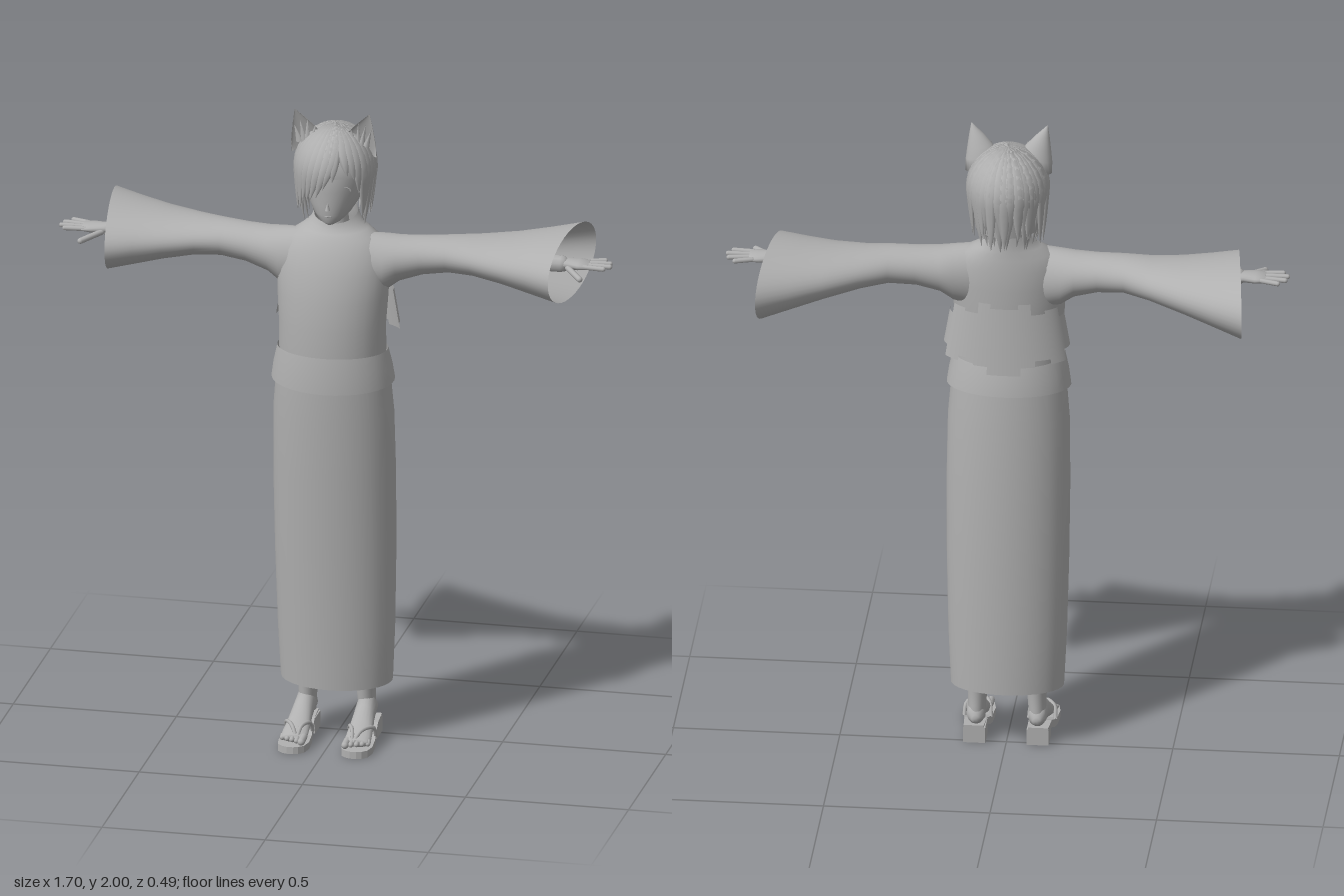
import * as THREE from 'three';

const grey = new THREE.MeshStandardMaterial({ color: 0xb0b0b0, side: THREE.DoubleSide });
grey.name = 'plain grey';

const V = (x, y, z) => new THREE.Vector3(x, y, z);

// Ellipse around c; u and v are half-axes, u cross v points along the loft.
function ring(c, u, v, n = 32) {
  return Array.from({ length: n }, (_, i) => {
    const t = (i / n) * Math.PI * 2;
    return c.clone().addScaledVector(u, Math.cos(t)).addScaledVector(v, Math.sin(t));
  });
}

// Skin over rings that all have the same number of points.
function loft(rings, capped = false) {
  const n = rings[0].length, pos = [], idx = [];
  rings.forEach(r => r.forEach(p => pos.push(p.x, p.y, p.z)));
  for (let i = 0; i < rings.length - 1; i++) {
    for (let j = 0; j < n; j++) {
      const a = i * n + j, b = i * n + (j + 1) % n;
      idx.push(a, b, b + n, a, b + n, a + n);
    }
  }
  if (capped) {
    [0, rings.length - 1].forEach((k, end) => {
      const c = rings[k].reduce((s, p) => s.add(p), V(0, 0, 0)).divideScalar(n);
      const ci = pos.length / 3;
      pos.push(c.x, c.y, c.z);
      for (let j = 0; j < n; j++) {
        const a = k * n + j, b = k * n + (j + 1) % n;
        end ? idx.push(ci, a, b) : idx.push(ci, b, a);
      }
    });
  }
  const g = new THREE.BufferGeometry();
  g.setAttribute('position', new THREE.Float32BufferAttribute(pos, 3));
  g.setIndex(idx);
  g.computeVertexNormals();
  return g;
}

// Upright loft from rows [y, halfWidth, zBack, zFront, tilt, x].
const upright = (rows, capped) => loft(rows.map(([y, rx, zb, zf, tilt = 0, x = 0]) =>
  ring(V(x, y, (zb + zf) / 2), V(0, tilt, (zf - zb) / 2), V(rx, 0, 0))), capped);

// Capsule between two points.
function capsule(a, b, r) {
  const d = b.clone().sub(a);
  const g = new THREE.CapsuleGeometry(r, d.length(), 4, 10);
  g.applyQuaternion(new THREE.Quaternion().setFromUnitVectors(V(0, 1, 0), d.normalize()));
  return g.translate((a.x + b.x) / 2, (a.y + b.y) / 2, (a.z + b.z) / 2);
}

function mirrored(g) {
  const m = g.clone().scale(-1, 1, 1);
  const src = m.index ? Array.from(m.index.array) : Array.from({ length: m.attributes.position.count }, (_, i) => i);
  for (let i = 0; i < src.length; i += 3) [src[i], src[i + 1]] = [src[i + 1], src[i]];
  m.setIndex(src);
  return m;
}

// One tapered lock: over the crown at azimuth a, then hanging down to yEnd.
function lock(a0, yEnd, width, sweep = 0, tuck = 0.9) {
  const arc = 0.2, total = arc + 1.81 - yEnd, rings = [];
  for (let i = 0; i <= 12; i++) {
    const s = i / 12, l = s * total, a = a0 + sweep * s * s;
    const phi = Math.min(l / arc, 1) * Math.PI / 2, drop = Math.max(0, l - arc);
    const r = Math.sin(phi) - tuck * drop - 0.02;
    const p = V(Math.sin(a) * r * 0.12, 1.81 + Math.cos(phi) * 0.127 - drop, 0.052 + Math.cos(a) * r * 0.134);
    const w = width * Math.min(1, 0.15 + s * 2) * (1 - s ** 4) + 0.0005;
    const out = V(Math.sin(a) * Math.sin(phi), Math.cos(phi), Math.cos(a) * Math.sin(phi));
    rings.push(ring(p, V(Math.cos(a), 0, -Math.sin(a)).multiplyScalar(w), out.multiplyScalar(0.01 * (1 - s ** 4) + 0.0005), 6));
  }
  return loft(rings, true);
}

export function createModel() {
  const model = new THREE.Group();
  const add = (name, g) => {
    const m = new THREE.Mesh(g, grey);
    m.name = name;
    model.add(m);
  };
  const pair = (name, g) => { add(name + 'Left', g); add(name + 'Right', mirrored(g)); };

  // Long skirt, open at the hem
  add('skirt', upright([[0.183, 0.17, -0.08, 0.147, -0.008], [0.35, 0.178, -0.079, 0.158], [0.6, 0.184, -0.076, 0.177],
    [0.85, 0.186, -0.067, 0.195], [1.05, 0.183, -0.056, 0.209], [1.18, 0.172, -0.045, 0.213]]));

  // Jacket: flared hem, then the torso up to the collar
  add('jacketHem', upright([[1.152, 0.187, -0.057, 0.225, -0.012], [1.2, 0.18, -0.05, 0.223, -0.005], [1.252, 0.168, -0.038, 0.217]]));
  add('torso', upright([[1.245, 0.162, -0.032, 0.211], [1.33, 0.162, -0.025, 0.212], [1.42, 0.168, -0.03, 0.205],
    [1.5, 0.172, -0.033, 0.19], [1.56, 0.163, -0.032, 0.168], [1.6, 0.135, -0.027, 0.145], [1.622, 0.1, -0.024, 0.128, -0.006],
    [1.64, 0.078, -0.022, 0.115, -0.012], [1.665, 0.066, -0.022, 0.11, -0.02]]));

  // Wide sleeves: x, yBottom, yTop, zBack, zFront
  const sleeve = [[0.09, 1.41, 1.612, 0, 0.14], [0.16, 1.435, 1.607, -0.02, 0.138], [0.2, 1.465, 1.603, -0.022, 0.13],
    [0.27, 1.487, 1.603, -0.027, 0.115], [0.35, 1.497, 1.606, -0.045, 0.11], [0.43, 1.49, 1.605, -0.09, 0.118],
    [0.53, 1.468, 1.61, -0.145, 0.137], [0.62, 1.443, 1.622, -0.195, 0.158], [0.705, 1.42, 1.635, -0.247, 0.18]];
  pair('sleeve', loft(sleeve.map(([x, yb, yt, zb, zf], i) => {
    const rz = (zf - zb) / 2;
    return ring(V(x, (yb + yt) / 2, (zb + zf) / 2), V(0, (yt - yb) / 2, 0), V(-0.12 * rz * i / 8, 0, rz), 40);
  })));

  // Stepped sash panel flaring out over the back
  const steps = [[0, 0.26, 1.25, 1.46], [0.26, 0.5, 1.275, 1.475], [0.5, 0.8, 1.295, 1.44], [0.8, 1.2, 1.28, 1.45], [1.2, 1.65, 1.315, 1.42]];
  const flare = y => 1 + (1.46 - y) * 1.05;
  steps.forEach(([a, b, yb, yt]) => {
    const g = new THREE.CylinderGeometry(flare(yt), flare(yb), yt - yb, 6, 3, true, Math.PI - b, b - a);
    pair('sashPanel', g.scale(0.164, 1, 0.088).translate(0, (yt + yb) / 2, 0.02));
  });

  // Arms, hands and fingers
  pair('arm', capsule(V(0.25, 1.55, 0.045), V(0.69, 1.55, 0.045), 0.026));
  pair('palm', loft([[0.67, 0.02, 0.024], [0.71, 0.016, 0.026], [0.745, 0.015, 0.036], [0.775, 0.01, 0.036]].map(([x, ry, rz]) =>
    ring(V(x, 1.552, 0.042), V(0, ry, 0), V(0, 0, rz), 16)), true));
  [[0.013, 0.815, -0.003], [0.031, 0.835, 0.022], [0.05, 0.84, 0.05], [0.069, 0.825, 0.074]].forEach(([z, x, zt]) =>
    pair('finger', capsule(V(0.765, 1.553, z), V(x, 1.553, zt), 0.0075)));
  pair('thumb', capsule(V(0.715, 1.545, 0.065), V(0.765, 1.535, 0.128), 0.009));

  // Legs, feet and toes
  pair('leg', upright([[0.07, 0.027, -0.01, 0.065, 0, 0.092], [0.12, 0.027, -0.008, 0.062, 0, 0.09], [0.19, 0.032, -0.008, 0.078, 0, 0.088],
    [0.35, 0.046, -0.03, 0.085, 0, 0.086], [0.6, 0.055, -0.01, 0.105, 0, 0.084], [0.9, 0.072, -0.01, 0.14, 0, 0.082]]));
  pair('foot', loft([[-0.014, 0.065, 0.09, 0.012], [0, 0.056, 0.115, 0.026], [0.04, 0.05, 0.14, 0.03], [0.085, 0.038, 0.115, 0.032],
    [0.13, 0.027, 0.08, 0.037], [0.175, 0.022, 0.056, 0.04], [0.2, 0.022, 0.046, 0.036]].map(([z, yb, yt, rx]) =>
    ring(V(0.092 + z * 0.03, (yb + yt) / 2, z), V(rx, 0, 0), V(0, (yt - yb) / 2, 0), 20)), true));
  for (let i = 0; i < 5; i++) {
    const x = 0.067 + i * 0.016;
    pair('toe', capsule(V(x, 0.036, 0.185), V(x, 0.032, 0.222 - i * 0.007), i ? 0.008 : 0.011));
  }

  // Sandals: raised sole, heel block and straps
  const corner = (x, y, z, w, h) => [V(x + w, y, z), V(x + w, y + h, z), V(x - w, y + h, z), V(x - w, y, z)];
  const sole = loft([[-0.015, 0.03, 0.037, 0.02], [0.055, 0.034, 0.03, 0.022], [0.1, 0.038, 0.008, 0.026], [0.135, 0.043, 0, 0.024],
    [0.19, 0.047, 0, 0.022], [0.225, 0.04, 0, 0.022], [0.24, 0.025, 0, 0.022], [0.246, 0.01, 0, 0.022]].map(([z, w, y, h]) =>
    corner(0.097, y, z, w, h)), true).toNonIndexed();
  sole.computeVertexNormals();
  pair('sandalSole', sole);
  pair('sandalHeel', new THREE.BoxGeometry(0.066, 0.05, 0.07).translate(0.095, 0.025, 0.02));
  [-1, 1].forEach(s => pair('sandalStrap', new THREE.TubeGeometry(new THREE.CatmullRomCurve3([V(0.085, 0.03, 0.205),
    V(0.092 + s * 0.014, 0.064, 0.172), V(0.097 + s * 0.036, 0.062, 0.13), V(0.097 + s * 0.04, 0.03, 0.11)]), 12, 0.006, 8)));

  // Neck, head and face
  add('neck', upright([[1.6, 0.045, 0.005, 0.095], [1.66, 0.037, 0.01, 0.085], [1.74, 0.038, 0.01, 0.09]]));
  add('head', upright([[1.652, 0.012, 0.105, 0.142], [1.662, 0.032, 0.075, 0.152], [1.685, 0.056, 0.02, 0.157], [1.715, 0.075, -0.03, 0.16],
    [1.76, 0.092, -0.055, 0.163], [1.82, 0.1, -0.065, 0.165], [1.88, 0.085, -0.04, 0.145], [1.92, 0.045, 0, 0.1]], true));
  add('nose', new THREE.ConeGeometry(0.008, 0.026, 8).scale(1, 1, 1.2).translate(0, 1.717, 0.16));
  add('mouth', new THREE.CapsuleGeometry(0.002, 0.018, 3, 8).rotateZ(Math.PI / 2).translate(0, 1.683, 0.156));
  pair('eyelid', new THREE.TorusGeometry(0.021, 0.0025, 6, 14, Math.PI).scale(1, 0.6, 1).rotateY(0.35).translate(0.046, 1.763, 0.146));

  // Hair: cap, back shell, then locks all round
  add('hairCap', new THREE.SphereGeometry(1, 32, 14, 0, Math.PI * 2, 0, Math.PI / 2).scale(0.117, 0.128, 0.13).translate(0, 1.81, 0.052));
  add('hairBack', new THREE.CylinderGeometry(1, 0.86, 0.12, 28, 2, true, 1.25, Math.PI * 2 - 2.5).scale(0.115, 1, 0.128).translate(0, 1.75, 0.052));
  for (let i = 0; i < 25; i++) {
    const a = 1.0 + (i / 24) * (Math.PI * 2 - 2.0), wobble = Math.sin(i * 2.4);
    add('hairLock', lock(a, 1.668 + 0.022 * wobble, 0.022, 0.12 * Math.cos(i * 1.7), 0.75 + 0.55 * Math.sin(i * 3.1)));
  }
  for (let i = 0; i < 12; i++) {
    add('hairUnderLock', lock(1.5 + i * 0.298, 1.645 + 0.012 * Math.sin(i * 2.1), 0.02, 0.1 * Math.sin(i * 5), 1.6));
  }
  // Fringe swept towards the right eye
  [[0.8, 1.755, 0.1], [0.6, 1.8, 0.15], [0.4, 1.815, 0.15], [0.25, 1.8, -0.1], [0.25, 1.775, -0.35], [0.1, 1.745, -0.4],
    [-0.08, 1.735, -0.4], [-0.28, 1.725, -0.35], [-0.48, 1.72, -0.3], [-0.68, 1.7, -0.25], [-0.85, 1.69, -0.1]]
    .forEach(([a, y, sweep]) => add('fringeLock', lock(a, y, 0.021, sweep, 0.35)));

  // Pointed animal ears, hollow in front, with tufts of fur
  const ear = [[1.868, 0.083, 0.047, 0.034], [1.9, 0.084, 0.046, 0.033], [1.93, 0.088, 0.038, 0.028], [1.965, 0.1, 0.021, 0.017], [1.996, 0.114, 0.001, 0.001]];
  pair('ear', loft(ear.map(([y, x, rx, rz], i) => ring(V(x, y, 0.075 + i * 0.006), V(0, 0, rz), V(rx, 0, 0), 24).map(p => {
    const dz = p.z - 0.075 - i * 0.006;
    if (dz > 0) p.z -= dz * 1.35;
    p.y += (0.085 - p.x) * 0.35 * (1 - i / 4);
    return p;
  })), true));
  [[0.06, 0.06, 0.25], [0.078, 0.075, 0], [0.094, 0.07, -0.2], [0.11, 0.055, -0.3]].forEach(([x, h, tilt]) =>
    pair('earTuft', new THREE.ConeGeometry(0.011, h, 6).scale(1, 1, 0.6).rotateZ(tilt).translate(x, 1.89 + h / 2, 0.089)));

  return model;
}
